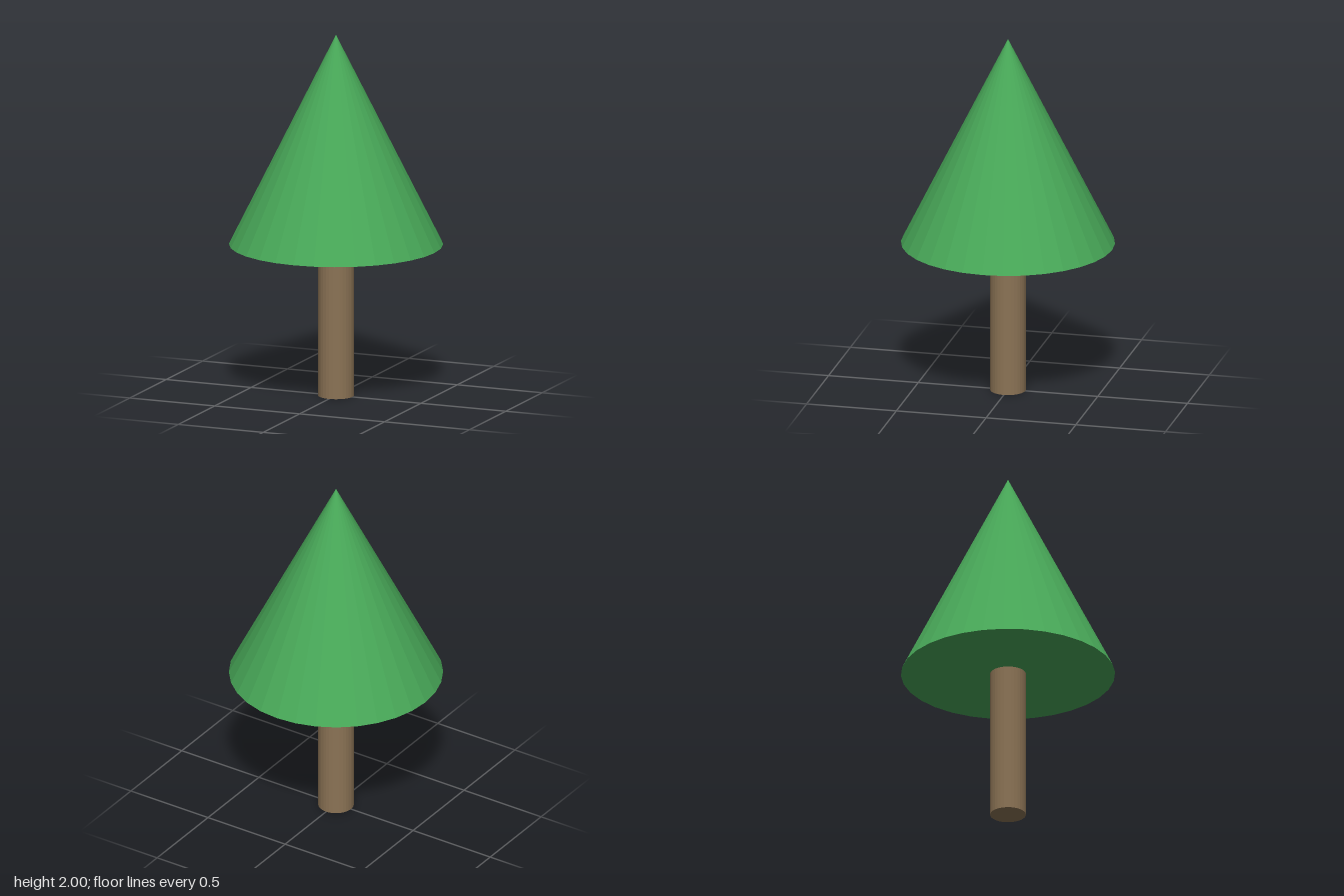
import * as THREE from 'three';

const SIDES = 32;
const TRUNK_HEIGHT = 0.84;
const TOTAL_HEIGHT = 2;

function addPart(group, name, geometry, color, y) {
  const material = new THREE.MeshStandardMaterial({ color, flatShading: true });
  const mesh = new THREE.Mesh(geometry, material);
  mesh.name = name;
  mesh.position.y = y;
  group.add(mesh);
}

export function createModel() {
  const tree = new THREE.Group();
  tree.name = 'tree';

  // Straight round trunk standing on the ground
  const trunk = new THREE.CylinderGeometry(0.097, 0.097, TRUNK_HEIGHT, SIDES);
  addPart(tree, 'trunk', trunk, 0x8b7355, TRUNK_HEIGHT / 2);

  // Faceted cone of foliage, closed underneath
  const foliageHeight = TOTAL_HEIGHT - TRUNK_HEIGHT;
  const foliage = new THREE.ConeGeometry(0.58, foliageHeight, SIDES);
  addPart(tree, 'foliage', foliage, 0x48a858, TRUNK_HEIGHT + foliageHeight / 2);

  return tree;
}
